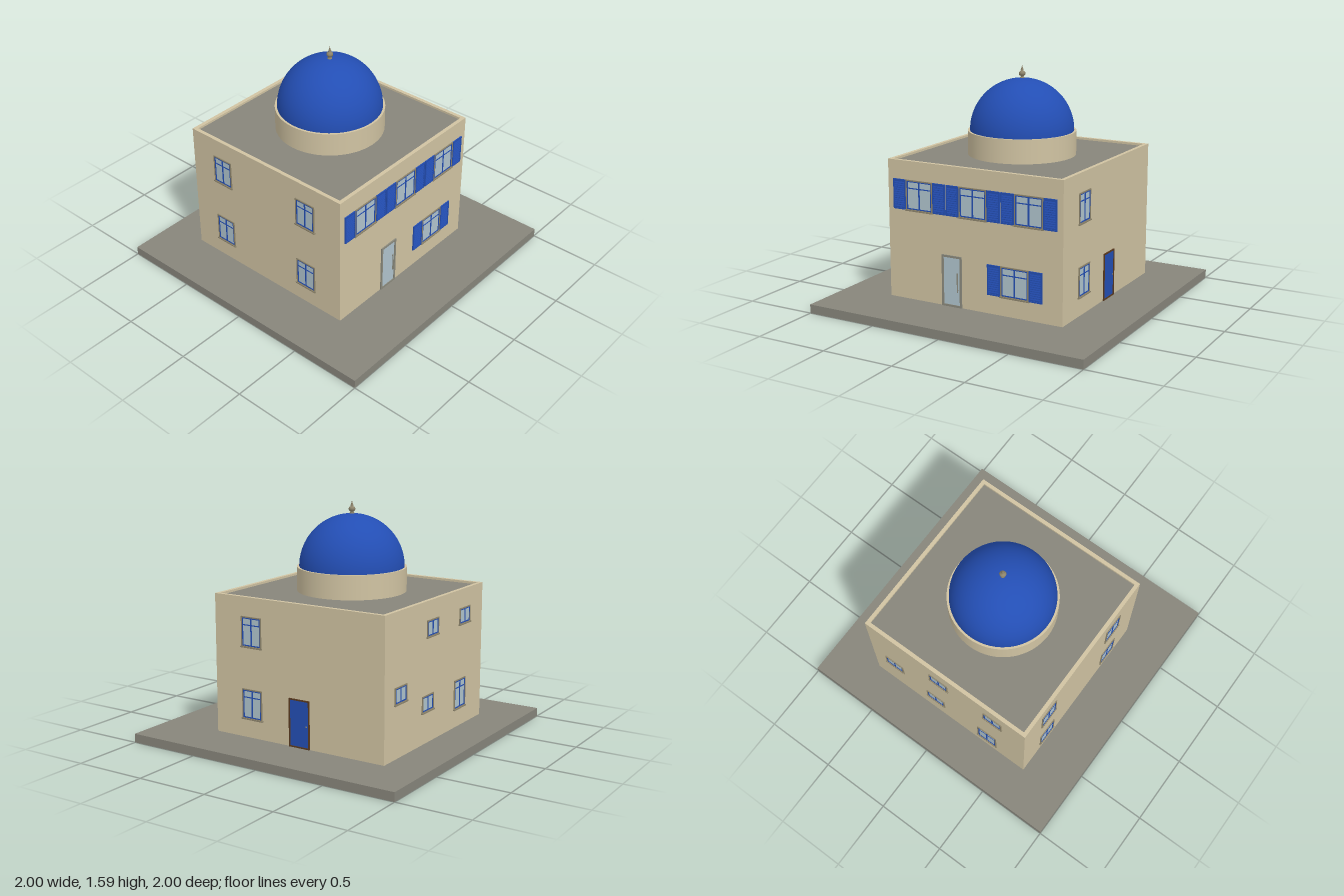
import * as THREE from 'three';

const mat = (name, color) => Object.assign(new THREE.MeshStandardMaterial({ color }), { name });

export function createModel() {
  const M = {
    wall: mat('sandPlaster', 0xd0c3a2),
    paving: mat('greyPaving', 0x87857b),
    blue: mat('bluePaint', 0x234eb4),
    glass: mat('paleGlass', 0xb0c4cd),
    trim: mat('stoneTrim', 0x8f866d),
    metal: mat('greyMetal', 0x8a897c),
    wood: mat('brownWood', 0x59391f),
  };
  const model = new THREE.Group();
  model.name = 'domedHouse';

  const W = 0.647, CZ = -0.07, GROUND = 0.06, ROOF = 0.985, TOP = 1.0;

  const add = (parent, name, geo, material, x = 0, y = 0, z = 0) => {
    const m = new THREE.Mesh(geo, material);
    m.name = name;
    m.position.set(x, y, z);
    parent.add(m);
    return m;
  };
  const box = (parent, name, material, w, h, d, x, y, z) =>
    add(parent, name, new THREE.BoxGeometry(w, h, d), material, x, y, z);

  // Rectangle centred on the origin, as outline or hole
  const rect = (w, h, Kind = THREE.Shape) => new Kind([
    new THREE.Vector2(-w / 2, -h / 2), new THREE.Vector2(w / 2, -h / 2),
    new THREE.Vector2(w / 2, h / 2), new THREE.Vector2(-w / 2, h / 2),
  ]);
  // Hollow rectangular border of thickness t and depth d
  const border = (w, h, t, d) => {
    const s = rect(w, h);
    s.holes.push(rect(w - 2 * t, h - 2 * t, THREE.Path));
    return new THREE.ExtrudeGeometry(s, { depth: d, bevelEnabled: false });
  };

  // Ground slab, house body, flat roof and parapet
  box(model, 'groundSlab', M.paving, 2, GROUND, 2, 0, GROUND / 2, 0);
  box(model, 'houseBody', M.wall, 2 * W, ROOF - GROUND - 0.004, 2 * W, 0, (ROOF - 0.004 + GROUND) / 2, CZ);
  box(model, 'flatRoof', M.paving, 2 * W - 0.04, 0.008, 2 * W - 0.04, 0, ROOF - 0.004, CZ);
  const parapet = add(model, 'parapet', border(2 * W, 2 * W, 0.026, TOP - ROOF + 0.004), M.wall, 0, ROOF - 0.004, CZ);
  parapet.rotation.x = -Math.PI / 2;

  // Drum, dome and finial
  add(model, 'drum', new THREE.CylinderGeometry(0.366, 0.366, 1.147 - ROOF, 64), M.wall, 0, (1.147 + ROOF) / 2, CZ);
  add(model, 'dome', new THREE.SphereGeometry(0.351, 64, 24, 0, Math.PI * 2, 0, Math.PI / 2), M.blue, 0, 1.146, CZ);
  const finial = [[0.016, 0], [0.016, 0.008], [0.008, 0.014], [0.02, 0.024], [0.023, 0.036], [0.018, 0.046],
    [0.008, 0.052], [0.01, 0.058], [0.004, 0.075], [0, 0.093]].map(([r, y]) => new THREE.Vector2(r, y));
  add(model, 'finial', new THREE.LatheGeometry(finial, 12), M.trim, 0, 1.493, CZ);

  // One group per wall: local x runs to the viewer's right, local z points outwards
  const wallGroup = (name, angle) => {
    const g = new THREE.Group();
    g.name = name;
    g.rotation.y = angle;
    g.position.set(Math.sin(angle) * W, 0, CZ + Math.cos(angle) * W);
    model.add(g);
    return g;
  };
  const front = wallGroup('frontWall', 0);
  const right = wallGroup('sideWallWithDoor', Math.PI / 2);
  const back = wallGroup('backWall', Math.PI);
  const left = wallGroup('sideWall', -Math.PI / 2);

  // Window: trim, sash, glass, mullion, sill and an optional transom
  const addWindow = (wall, x, bottom, w, h, transom = true) => {
    const g = new THREE.Group();
    g.name = 'window';
    g.position.set(x, bottom + h / 2, 0);
    wall.add(g);
    add(g, 'windowTrim', border(w, h, 0.008, 0.007), M.trim);
    add(g, 'windowSash', border(w - 0.016, h - 0.016, 0.007, 0.005), M.blue);
    box(g, 'windowGlass', M.glass, w - 0.02, h - 0.02, 0.002, 0, 0, 0.001);
    box(g, 'mullion', M.blue, 0.01, h - 0.02, 0.005, 0, 0, 0.0025);
    if (transom) box(g, 'transom', M.blue, w - 0.02, 0.007, 0.0045, 0, h / 2 - 0.056, 0.00225);
    box(g, 'windowSill', M.trim, w + 0.012, 0.009, 0.011, 0, -h / 2, 0.0055);
  };

  // Louvred shutter
  const addShutter = (wall, x, bottom, w, h) => {
    const g = new THREE.Group();
    g.name = 'shutter';
    g.position.set(x, bottom + h / 2, 0);
    wall.add(g);
    add(g, 'shutterFrame', border(w, h, 0.009, 0.008), M.blue);
    box(g, 'shutterPanel', M.blue, w - 0.01, h - 0.01, 0.003, 0, 0, 0.0015);
    for (let i = 0; i < 12; i++) {
      const y = (h - 0.03) * ((i + 0.5) / 12 - 0.5);
      box(g, 'louvre', M.blue, w - 0.018, 0.009, 0.002, 0, y, 0.0045).rotation.x = -0.35;
    }
  };
  const addShutteredWindow = (x, bottom) => {
    addWindow(front, x, bottom, 0.204, 0.205);
    for (const s of [-1, 1]) addShutter(front, x + s * 0.152, bottom + 0.001, 0.094, 0.203);
  };

  // Front windows
  for (const x of [-0.406, 0, 0.406]) addShutteredWindow(x, 0.67);
  addShutteredWindow(0.305, 0.186);

  // Side windows
  for (const bottom of [0.67, 0.186]) {
    addWindow(right, -0.355, bottom, 0.158, 0.203);
    for (const x of [-0.375, 0.355]) addWindow(left, x, bottom, 0.158, 0.203);
  }

  // Back windows: four small and one tall
  for (const [x, bottom] of [[-0.054, 0.762], [0.388, 0.762], [-0.455, 0.412], [-0.108, 0.272]])
    addWindow(back, x, bottom, 0.15, 0.112, false);
  addWindow(back, 0.334, 0.186, 0.158, 0.203);

  // Doors share a frame and a leaf
  const addDoor = (wall, name, x, w, h, t, frameMat, leafMat) => {
    const g = new THREE.Group();
    g.name = name;
    g.position.set(x, GROUND + h / 2, 0);
    wall.add(g);
    add(g, 'doorFrame', border(w, h, t, 0.008), frameMat);
    box(g, 'doorLeaf', leafMat, w - 0.01, h - 0.01, 0.003, 0, 0, 0.0015);
    return g;
  };

  // Glazed front door with a long bar handle
  const glassDoor = addDoor(front, 'frontDoor', -0.161, 0.15, 0.347, 0.014, M.metal, M.glass);
  box(glassDoor, 'handleBar', M.metal, 0.007, 0.13, 0.004, 0.045, -0.004, 0.009);
  for (const y of [-0.055, 0.047]) box(glassDoor, 'handleMount', M.metal, 0.006, 0.006, 0.007, 0.045, y, 0.0055);

  // Painted side door with a knob
  const sideDoor = addDoor(right, 'sideDoor', 0.018, 0.158, 0.322, 0.009, M.wood, M.blue);
  add(sideDoor, 'doorKnob', new THREE.SphereGeometry(0.005, 12, 8), M.metal, 0.055, -0.012, 0.006);

  return model;
}
